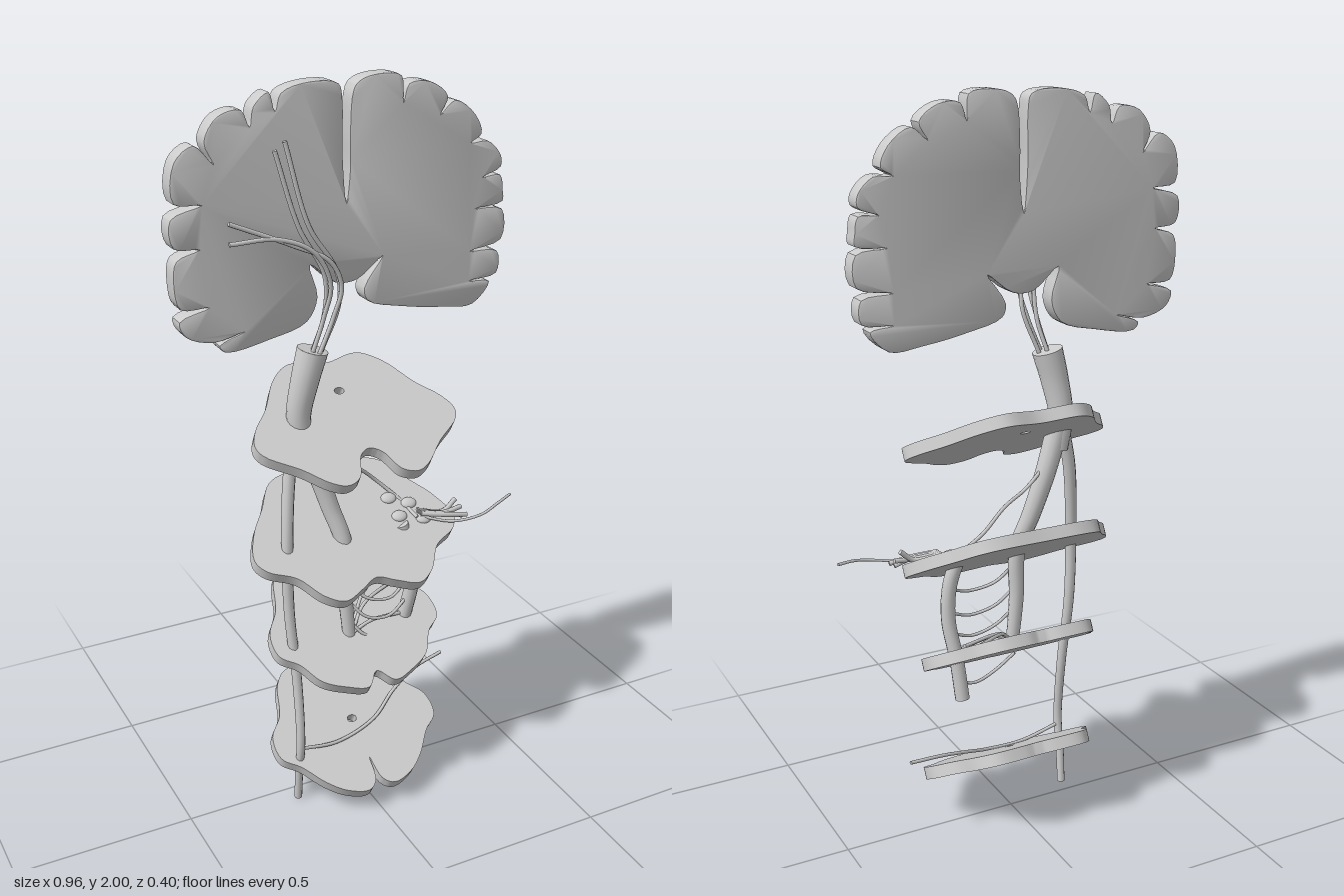
import * as THREE from 'three';
import { toCreasedNormals } from 'three/addons/utils/BufferGeometryUtils.js';

const material = new THREE.MeshStandardMaterial({ color: 0xcccccc, side: THREE.DoubleSide });
const TILT = Math.PI / 6;

function add(group, name, geometry) {
  const mesh = new THREE.Mesh(geometry, material);
  mesh.name = name;
  group.add(mesh);
  return mesh;
}

function smoothShape(points, divisions) {
  const curve = new THREE.CatmullRomCurve3(points.map(([x, y]) => new THREE.Vector3(x, y, 0)), true);
  const outline = curve.getPoints(points.length * divisions).slice(0, -1);
  return new THREE.Shape(outline.map((p) => new THREE.Vector2(p.x, p.y)));
}

// Tapered, capped tube through a few points
function tract(group, name, points, r0, r1 = r0, sides = 8) {
  const curve = new THREE.CatmullRomCurve3(points.map((p) => new THREE.Vector3(...p)));
  const geometry = new THREE.TubeGeometry(curve, points.length * 7, r0, sides);
  const { position, normal, uv } = geometry.attributes;
  for (let i = 0; i < position.count; i++) {
    const grow = (r1 - r0) * uv.getX(i);
    position.setXYZ(i, position.getX(i) + normal.getX(i) * grow,
      position.getY(i) + normal.getY(i) * grow, position.getZ(i) + normal.getZ(i) * grow);
  }
  add(group, name, geometry);
  [[0, r0, -1], [1, r1, 1]].forEach(([t, r, sign]) => {
    const cap = add(group, name + 'End', new THREE.CircleGeometry(r, sides));
    cap.position.copy(curve.getPoint(t));
    cap.quaternion.setFromUnitVectors(new THREE.Vector3(0, 0, 1), curve.getTangent(t).multiplyScalar(sign));
  });
}

// Tilted slice; half outline in plan (x, z) from the back midline to the front midline
function slice(group, name, y, half, holeZ) {
  const c = Math.cos(TILT), thickness = 0.034;
  const right = half.map(([x, z]) => [x, -z / c]);
  const left = right.slice(1, -1).reverse().map(([x, v]) => [-x, v]);
  const shape = smoothShape([...right, ...left], 5);
  if (holeZ !== undefined) {
    const hole = new THREE.Path();
    hole.absellipse(0, -holeZ / c, 0.014, 0.011, 0, Math.PI * 2);
    shape.holes.push(hole);
  }
  const geometry = new THREE.ExtrudeGeometry(shape, { depth: thickness, bevelEnabled: false, curveSegments: 8 });
  geometry.translate(0, 0, -thickness / 2);
  const mesh = add(group, name, toCreasedNormals(geometry, 0.6));
  mesh.rotation.x = TILT - Math.PI / 2;
  mesh.position.y = y;
}

export function createModel() {
  const model = new THREE.Group();
  model.name = 'brainAndCordPathways';

  // Brain section: outline in hundredths, with narrow grooves between the folds
  const outline = [
    -2, 170, -1, 178, -1, 187, 0, 197, 2, 199, 7, 200, 13, 199, 13.5, 193, 15, 197, 21, 197, 26, 193,
    24, 189, 28, 192, 34, 188, 36, 183, 33, 181, 38, 181, 42, 177, 42, 174, 37, 172, 42, 172, 43, 168,
    43, 165, 35, 164, 43, 163, 43, 155, 34, 153, 42, 152, 42, 146, 34, 145, 40, 144, 35, 138.5, 26, 139,
    14, 141, 4, 144, 3, 147.5, 8, 155, 1, 150, -5, 150, -12, 155.5, -10, 147, -13, 141, -23, 138,
    -35, 136.5, -36.5, 138.5, -30, 141, -38, 139.5, -45, 142, -46.5, 146, -39, 148.5, -46, 149, -47.5, 155.5,
    -46.5, 161, -41, 163, -47, 164, -47.5, 171, -40, 173.5, -46.5, 174.5, -46, 184, -41, 187.5, -36.5, 183,
    -38.5, 188, -35, 193.5, -29, 194.5, -27, 190.5, -26, 195, -22, 198, -20.5, 193.5, -19, 197.5,
    -12, 199.5, -4, 198.5, -3, 194.5, -3, 182,
  ];
  const brainPoints = [];
  for (let i = 0; i < outline.length; i += 2) brainPoints.push([outline[i] / 100, outline[i + 1] / 100]);
  const brain = new THREE.ExtrudeGeometry(smoothShape(brainPoints, 4), {
    depth: 0.044, bevelThickness: 0.004, bevelSize: 0.003, bevelOffset: -0.003, bevelSegments: 2,
  });
  brain.translate(0, 0, -0.03);
  add(model, 'brainSection', toCreasedNormals(brain, 0.7));

  // Four tilted cross-sections of the stem and cord
  slice(model, 'upperStemSlice', 1.115, [[0, -0.16], [0.1, -0.175], [0.16, -0.14], [0.22, -0.06], [0.27, -0.01],
    [0.29, 0.03], [0.28, 0.06], [0.2, 0.115], [0.14, 0.165], [0.1, 0.18], [0.06, 0.165], [0.03, 0.11], [0, 0.095]], -0.075);
  slice(model, 'lowerStemSlice', 0.79, [[0, -0.185], [0.11, -0.185], [0.17, -0.165], [0.22, -0.1], [0.27, -0.04],
    [0.3, 0.03], [0.28, 0.065], [0.21, 0.1], [0.16, 0.16], [0.11, 0.185], [0.05, 0.165], [0, 0.145]]);
  slice(model, 'upperCordSlice', 0.505, [[0, -0.18], [0.05, -0.195], [0.13, -0.19], [0.17, -0.15], [0.2, -0.07],
    [0.245, -0.01], [0.245, 0.05], [0.2, 0.085], [0.16, 0.14], [0.1, 0.17], [0.04, 0.185], [0, 0.15]]);
  slice(model, 'lowerCordSlice', 0.17, [[0, -0.165], [0.05, -0.175], [0.13, -0.175], [0.17, -0.14], [0.2, -0.06],
    [0.245, -0.01], [0.245, 0.05], [0.2, 0.085], [0.15, 0.14], [0.1, 0.175], [0.04, 0.19], [0.01, 0.17], [0, 0.11]], 0.0);

  // Main bundle and the two tracts it splits into
  tract(model, 'mainBundle', [[-0.11, 1.33, 0.005], [-0.13, 1.25, 0], [-0.145, 1.15, -0.01], [-0.135, 1.06, -0.01]], 0.041, 0.028, 16);
  tract(model, 'frontTract', [[-0.135, 1.12, -0.01], [-0.1, 1.0, -0.01], [-0.065, 0.88, 0.005], [-0.035, 0.77, 0.03],
    [-0.035, 0.63, 0.035], [-0.025, 0.49, 0.04]], 0.03, 0.018, 12);
  tract(model, 'sideTract', [[-0.15, 1.12, -0.01], [-0.178, 1.0, 0], [-0.2, 0.8, 0.025], [-0.2, 0.6, 0.03], [-0.19, 0.4, 0.05],
    [-0.192, 0.2, 0.073], [-0.192, 0.1, 0.058], [-0.19, 0.001, 0.045]], 0.018, 0.011, 10);
  tract(model, 'descendingTract', [[0.14, 0.79, 0.03], [0.165, 0.7, 0.04], [0.17, 0.6, 0.04], [0.155, 0.49, 0.025], [0.145, 0.37, 0.01]], 0.02, 0.02, 12);

  // Fibres fanning over the front of the brain
  const fans = [
    [[-0.12, 1.32, 0.02], [-0.09, 1.42, 0.03], [-0.08, 1.51, 0.05], [-0.13, 1.6, 0.058], [-0.22, 1.64, 0.05], [-0.34, 1.64, 0.04]],
    [[-0.105, 1.32, 0.03], [-0.065, 1.42, 0.035], [-0.05, 1.5, 0.05], [-0.085, 1.57, 0.056], [-0.18, 1.62, 0.05], [-0.34, 1.69, 0.04]],
    [[-0.11, 1.32, 0.0], [-0.085, 1.42, 0.02], [-0.09, 1.53, 0.035], [-0.16, 1.66, 0.04], [-0.22, 1.85, 0.042]],
    [[-0.09, 1.32, 0.01], [-0.045, 1.45, 0.025], [-0.06, 1.54, 0.04], [-0.135, 1.66, 0.045], [-0.195, 1.87, 0.045]],
  ];
  fans.forEach((points) => tract(model, 'brainFibre', points, 0.006));

  // Linking fibres between the front and descending tracts
  [0.7, 0.63, 0.57, 0.51, 0.43].forEach((y, i) => tract(model, 'linkingFibre',
    [[-0.03, y + 0.03, 0.035], [0.02, y - 0.025, 0.06], [0.09, y - 0.04, 0.07 - i * 0.006], [0.16, y - 0.01, 0.035]], 0.0045));
  [[0.14, 0.58, -0.1], [0.17, 0.565, -0.06], [0.14, 0.51, 0.03]].forEach(([x, y, z]) => tract(model, 'sliceFibre',
    [[-0.02, 0.5, 0.05], [0.04, (y + 0.53) / 2, z * 0.5 + 0.03], [x, y, z]], 0.005));

  // Crossing fibre, cell clusters and rootlets at the lower stem slice
  tract(model, 'crossingFibre', [[-0.1, 1.02, -0.01], [-0.03, 0.97, -0.03], [0.05, 0.94, -0.06], [0.12, 0.88, -0.07],
    [0.17, 0.83, -0.04], [0.19, 0.8, 0.03]], 0.005);
  [[0.14, -0.045], [0.145, 0.01], [0.19, -0.02], [0.21, 0.03]].forEach(([x, z]) => {
    const cluster = add(model, 'cellCluster', new THREE.SphereGeometry(1, 14, 10));
    cluster.scale.set(0.023, 0.01, 0.018);
    cluster.rotation.x = TILT;
    cluster.position.set(x, 0.81 - z * Math.tan(TILT), z);
  });
  [[0.31, 0.83, 0.03], [0.325, 0.805, 0.035], [0.32, 0.785, 0.05], [0.33, 0.79, 0.06]].forEach((end, i) => tract(model, 'rootlet',
    [[0.2, 0.81, 0.01 + i * 0.008], [0.27, 0.8, 0.03 + i * 0.008], end], 0.007));
  tract(model, 'longRootlet', [[0.2, 0.8, 0.03], [0.28, 0.785, 0.07], [0.36, 0.795, 0.088], [0.42, 0.81, 0.075], [0.475, 0.817, 0.053]], 0.004);

  // Long fibre crossing the lowest slice
  tract(model, 'cordFibre', [[-0.19, 0.18, 0.07], [-0.07, 0.16, 0.06], [0.06, 0.18, 0.03], [0.15, 0.22, -0.02],
    [0.24, 0.25, -0.055], [0.34, 0.265, -0.075]], 0.005);

  return model;
}
